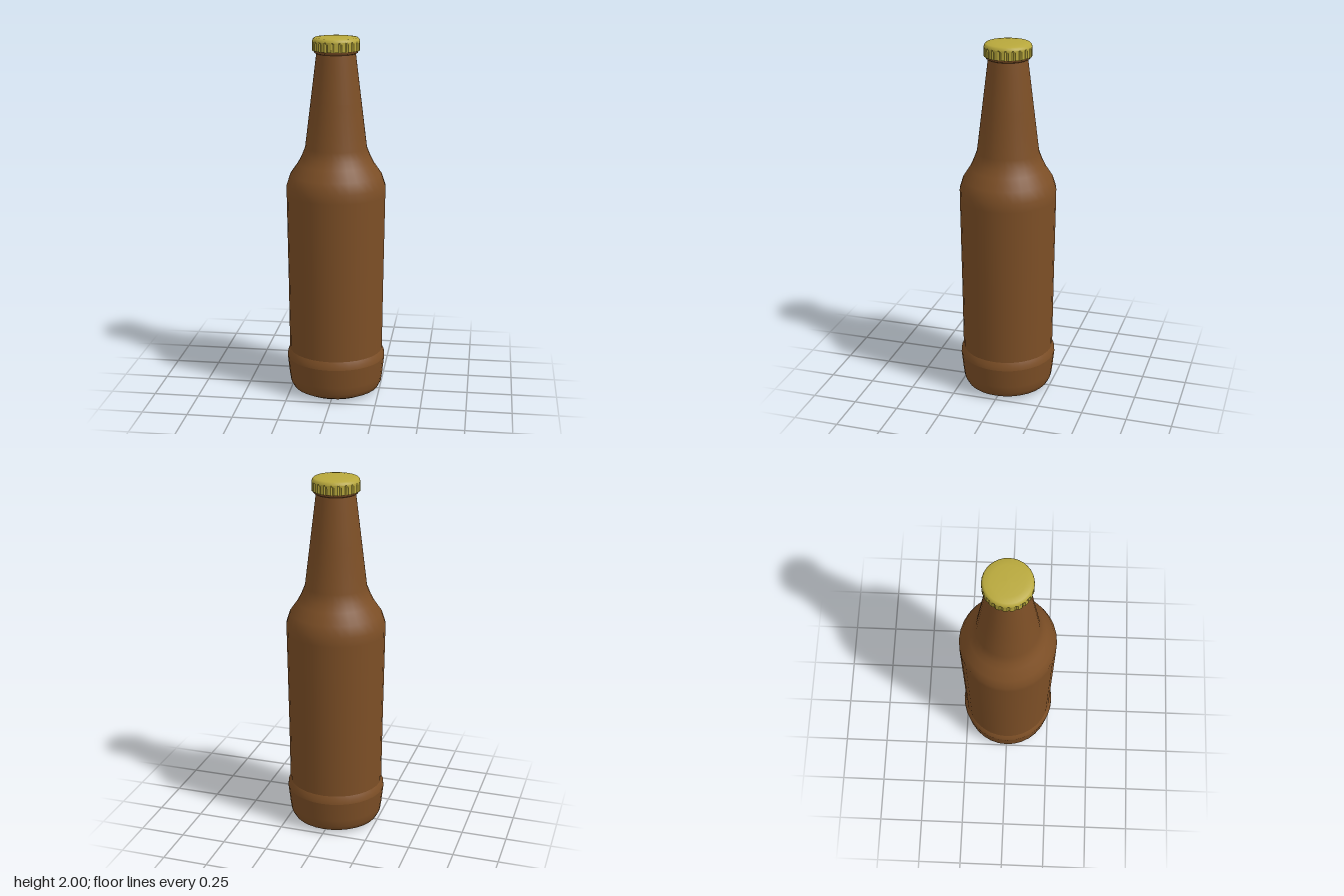
import * as THREE from 'three';
import { toCreasedNormals } from 'three/addons/utils/BufferGeometryUtils.js';

const glass = new THREE.MeshStandardMaterial({ color: 0x7d4f26 });
glass.name = 'brown glass';
const gold = new THREE.MeshStandardMaterial({ color: 0xb8a83c });
gold.name = 'yellow cap metal';

const SIDES = 32;

// Surface of revolution from [radius, height] pairs, listed bottom to top.
function lathe(points, segments = SIDES) {
  return new THREE.LatheGeometry(points.map(([r, y]) => new THREE.Vector2(r, y)), segments);
}

// The body is slightly narrower in z; the neck is round.
function flatten(geometry) {
  const p = geometry.attributes.position;
  for (let i = 0; i < p.count; i++) {
    const t = THREE.MathUtils.smoothstep(p.getY(i), 1.22, 1.4);
    p.setZ(i, p.getZ(i) * THREE.MathUtils.lerp(0.97, 1, t));
  }
  return geometry;
}

function add(group, name, geometry, material) {
  const mesh = new THREE.Mesh(geometry, material);
  mesh.name = name;
  group.add(mesh);
}

export function createModel() {
  const bottle = new THREE.Group();
  bottle.name = 'bottle';

  // Glass, split where the surface has a hard edge
  const glassParts = {
    underside: [[0, 0], [0.2, 0]],
    heel: [[0.2, 0], [0.243, 0.022], [0.258, 0.05], [0.264, 0.09], [0.276, 0.2]],
    heelBevel: [[0.276, 0.2], [0.273, 0.222], [0.262, 0.245]],
    bodyAndNeck: [[0.262, 0.245], [0.265, 0.6], [0.272, 1.14], [0.272, 1.19], [0.252, 1.25],
      [0.21, 1.31], [0.189, 1.35], [0.169, 1.4], [0.138, 1.65], [0.106, 1.91]],
    lip: [[0.106, 1.907], [0.117, 1.912], [0.121, 1.925], [0.119, 1.94]],
  };
  for (const [name, points] of Object.entries(glassParts)) {
    add(bottle, name, flatten(lathe(points)), glass);
  }

  // Cap: gently domed top over a crimped skirt
  const cap = new THREE.Group();
  cap.name = 'cap';
  bottle.add(cap);
  add(cap, 'capTop', lathe([[0.128, 1.974], [0.125, 1.984], [0.116, 1.993], [0.085, 1.997], [0.045, 1.999], [0, 2]]), gold);

  // Every fourth column of the skirt is pressed inward to form a flute
  const teeth = 21, columns = teeth * 4;
  const skirt = lathe([[0.119, 1.924], [0.128, 1.924], [0.128, 1.965], [0.128, 1.975]], columns);
  const p = skirt.attributes.position;
  for (let i = 0; i < p.count; i++) {
    const column = Math.floor(i / 4) % columns, row = i % 4;
    if (column % 4 === 0 && (row === 1 || row === 2)) {
      p.setX(i, p.getX(i) * 0.955);
      p.setZ(i, p.getZ(i) * 0.955);
    }
  }
  add(cap, 'capSkirt', toCreasedNormals(skirt, 0.5), gold);

  return bottle;
}
